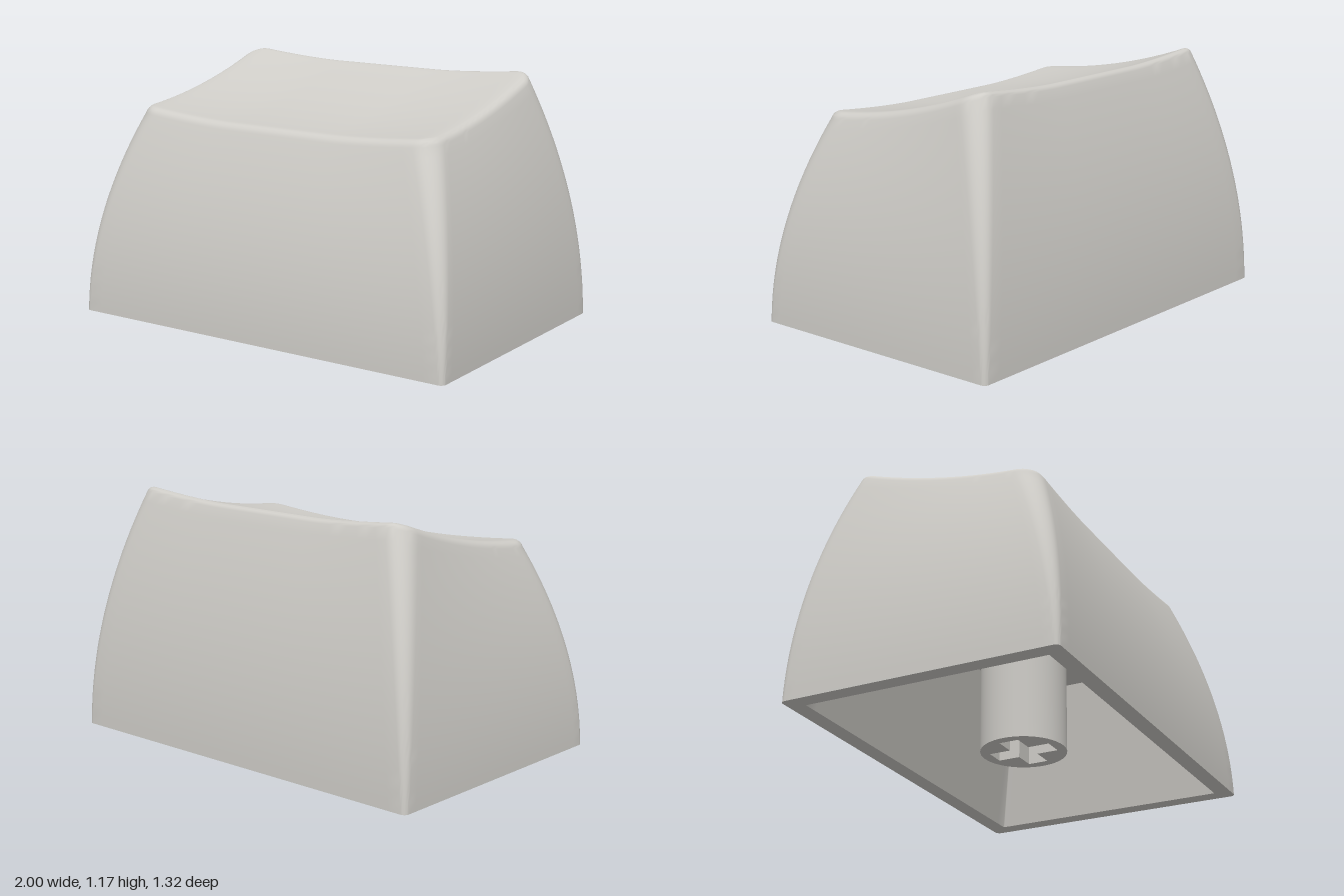
import * as THREE from 'three';
import { toCreasedNormals } from 'three/addons/utils/BufferGeometryUtils.js';

const CORNER = 8, SIDE = 28;            // subdivisions of each corner and side
const TOP_X = 0.815, TOP_Z = 0.465;     // half size where the walls meet the top
const CEILING = 0.67, STEM_R = 0.2, SOCKET_DEPTH = 0.28;

// Rounded rectangle as [x, z] pairs, running from +x towards +z
function ring(hx, hz, r) {
  const pts = [];
  const signs = [[1, 1], [-1, 1], [-1, -1], [1, -1]];
  const corner = (q, k) => {
    const a = (q + k / CORNER) * Math.PI / 2;
    const [sx, sz] = signs[q];
    return [sx * (hx - r) + r * Math.cos(a), sz * (hz - r) + r * Math.sin(a)];
  };
  for (let q = 0; q < 4; q++) {
    for (let k = 0; k <= CORNER; k++) pts.push(corner(q, k));
    const a = corner(q, CORNER), b = corner((q + 1) % 4, 0);
    for (let k = 1; k < SIDE; k++) {
      const t = k / SIDE;
      pts.push([a[0] + (b[0] - a[0]) * t, a[1] + (b[1] - a[1]) * t]);
    }
  }
  return pts;
}

const level = (pts, y) => pts.map(([x, z]) => [x, y, z]);

// Skin a list of closed rings
function loft(rings, crease) {
  const n = rings[0].length, index = [];
  for (let i = 0; i < rings.length - 1; i++) {
    for (let j = 0; j < n; j++) {
      const a = i * n + j, b = i * n + (j + 1) % n;
      index.push(a, a + n, b, b, a + n, b + n);
    }
  }
  const g = new THREE.BufferGeometry();
  g.setAttribute('position', new THREE.Float32BufferAttribute(rings.flat(2), 3));
  g.setIndex(index);
  return toCreasedNormals(g, crease);
}

// Height of the sloping, scooped top
function topHeight(x, z) {
  const s = Math.min(1, Math.max(0, (Math.abs(x) - 0.28) / 0.47));
  return 1.015 - 0.218 * z + 0.18 * z * z + 0.03 * Math.pow(s, 1.6);
}

function outerShell() {
  const rings = [], edge = ring(TOP_X, TOP_Z, 0.1);
  const fillet = 0.045, start = 0.32;
  const drop = fillet * (1 - Math.sin(start));
  // Bulging walls
  for (let i = 0; i <= 24; i++) {
    const t = i / 24, b = t * t;
    const pts = ring(1 - (1 - TOP_X) * b, 0.66 - (0.66 - TOP_Z) * b, 0.025 + 0.075 * t);
    rings.push(pts.map(([x, z], j) => [x, t * (topHeight(...edge[j]) - drop), z]));
  }
  // Rounded rim of the top
  let last = edge;
  for (let i = 1; i <= 6; i++) {
    const a = start + (Math.PI / 2 - start) * i / 6;
    const inset = fillet * (Math.cos(start) - Math.cos(a));
    last = ring(TOP_X - inset, TOP_Z - inset, 0.1 - inset);
    rings.push(last.map(([x, z]) => [x, topHeight(x, z) - fillet * (1 - Math.sin(a)), z]));
  }
  // Scooped top, shrinking to the centre
  for (let i = 1; i <= 20; i++) {
    const s = 1 - i / 20;
    rings.push(last.map(([x, z]) => [x * s, topHeight(x * s, z * s), z * s]));
  }
  return loft(rings, 1.0);
}

// Tube with a cross-shaped socket, pointing down
function stemGeometry() {
  const shape = new THREE.Shape().absarc(0, 0, STEM_R, 0, Math.PI * 2, false);
  const L = 0.15, w = 0.047;
  const cross = [[L, w], [w, w], [w, L], [-w, L], [-w, w], [-L, w],
    [-L, -w], [-w, -w], [-w, -L], [w, -L], [w, -w], [L, -w]];
  shape.holes.push(new THREE.Path(cross.map(([x, y]) => new THREE.Vector2(x, y))));
  const g = new THREE.ExtrudeGeometry(shape, { depth: CEILING, bevelEnabled: false, curveSegments: 24 });
  g.rotateX(-Math.PI / 2);
  return toCreasedNormals(g, 0.5);
}

export function createModel() {
  const group = new THREE.Group();
  const plastic = new THREE.MeshStandardMaterial({ color: 0xcfcdc8 });
  plastic.name = 'warm grey plastic';
  const add = (name, geometry) => {
    const mesh = new THREE.Mesh(geometry, plastic);
    mesh.name = name;
    group.add(mesh);
    return mesh;
  };

  const opening = ring(0.92, 0.58, 0.004);
  const ceiling = ring(0.8, 0.46, 0.004);

  add('outerShell', outerShell());
  add('bottomRim', loft([level(opening, 0), level(ring(1, 0.66, 0.025), 0)], 0.5));
  add('innerWalls', loft([level(ceiling, CEILING), level(opening, 0)], 0.5));
  add('innerCeiling', loft([level(ceiling.map(() => [0, 0]), CEILING), level(ceiling, CEILING)], 0.5));
  add('stem', stemGeometry());

  // Floor of the cross socket
  const floor = add('socketFloor', new THREE.CircleGeometry(STEM_R - 0.02, 32));
  floor.rotation.x = Math.PI / 2;
  floor.position.y = SOCKET_DEPTH;
  return group;
}
